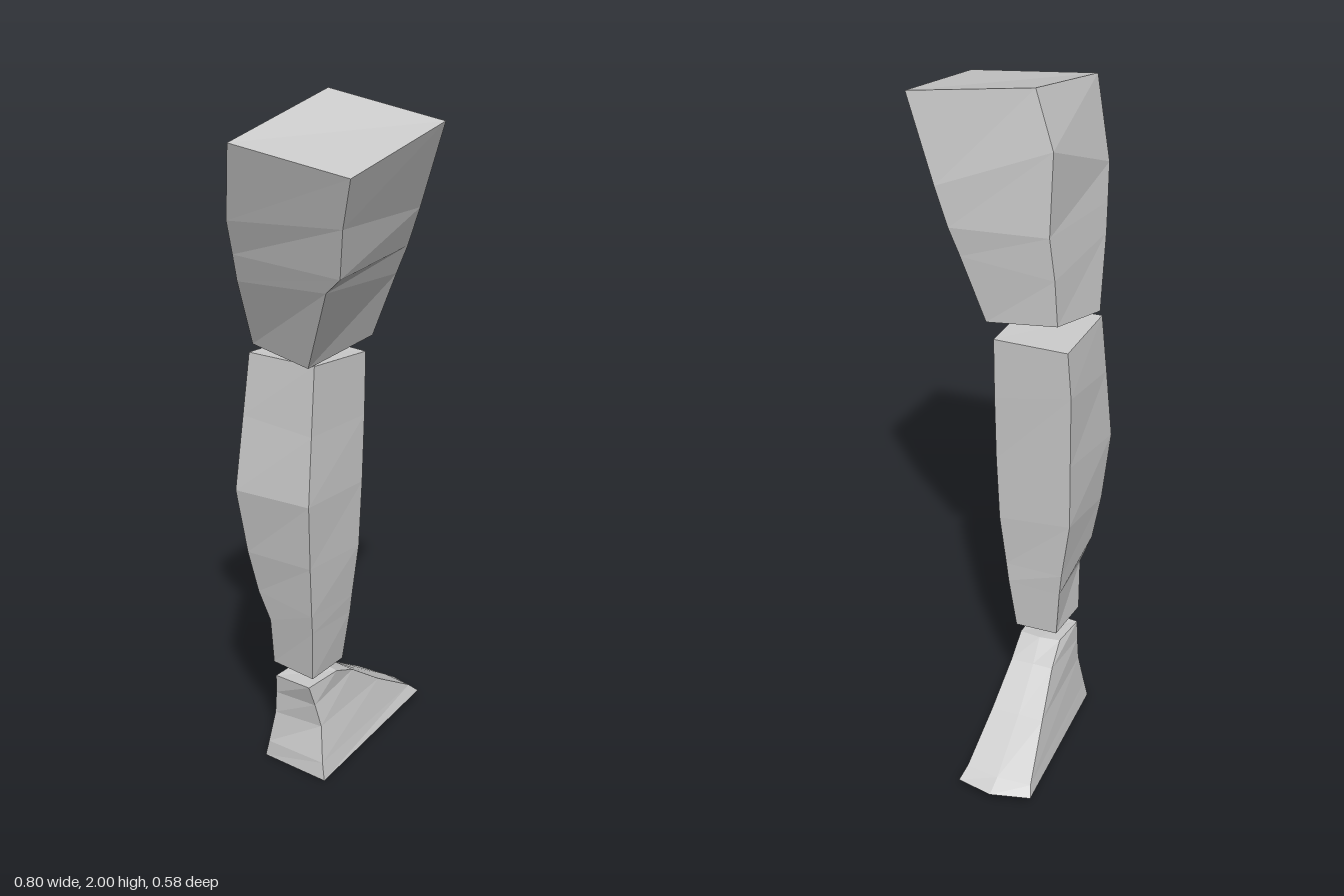
import * as THREE from 'three';

// Joins rings of corners (listed top to bottom, each back-right, back-left, ..., front-right)
// into a closed faceted solid.
function loft(name, rings) {
  const n = rings[0].length, pos = [];
  const tri = (a, b, c) => pos.push(...a, ...b, ...c);
  for (let r = 0; r < rings.length - 1; r++) {
    const u = rings[r], l = rings[r + 1];
    for (let i = 0; i < n; i++) {
      const j = (i + 1) % n;
      tri(u[i], u[j], l[j]);
      tri(u[i], l[j], l[i]);
    }
  }
  const top = rings[0], bottom = rings[rings.length - 1];
  for (let i = 1; i < n - 1; i++) {
    tri(top[0], top[i + 1], top[i]);
    tri(bottom[0], bottom[i], bottom[i + 1]);
  }
  const geometry = new THREE.BufferGeometry();
  geometry.setAttribute('position', new THREE.Float32BufferAttribute(pos, 3));
  geometry.computeVertexNormals();
  const mesh = new THREE.Mesh(geometry, new THREE.MeshStandardMaterial({ color: 0xcccccc, flatShading: true }));
  mesh.name = name;
  return mesh;
}

export function createModel() {
  const group = new THREE.Group();
  group.name = 'leg';

  // Thigh: wide slanted top, tapering to the knee
  group.add(loft('thigh', [
    [[-0.40, 1.92, -0.085], [0.00, 2.00, -0.10], [0.045, 1.95, 0.255], [-0.37, 1.88, 0.29]],
    [[-0.34, 1.70, -0.155], [0.025, 1.85, -0.165], [0.06, 1.71, 0.165], [-0.335, 1.74, 0.235]],
    [[-0.305, 1.60, -0.17], [0.04, 1.62, -0.165], [0.06, 1.60, 0.125], [-0.305, 1.60, 0.20]],
    [[-0.28, 1.52, -0.18], [0.035, 1.50, -0.18], [0.05, 1.52, 0.095], [-0.29, 1.55, 0.14]],
    [[-0.20, 1.32, -0.205], [0.035, 1.37, -0.19], [0.035, 1.335, 0.025], [-0.215, 1.30, 0.01]],
  ]));

  // Shin: bulges at the calf, narrows to the ankle
  group.add(loft('shin', [
    [[-0.215, 1.30, -0.205], [0.02, 1.29, -0.215], [0.03, 1.285, 0.005], [-0.19, 1.30, 0.01]],
    [[-0.235, 1.12, -0.215], [0.015, 1.15, -0.225], [0.025, 1.10, 0.005], [-0.205, 1.10, 0.01]],
    [[-0.262, 0.90, -0.225], [0.01, 0.93, -0.225], [0.015, 0.90, 0.005], [-0.225, 0.90, 0.015]],
    [[-0.23, 0.70, -0.215], [0.005, 0.73, -0.225], [0.01, 0.70, -0.003], [-0.205, 0.70, 0.00]],
    [[-0.205, 0.57, -0.20], [0.00, 0.55, -0.20], [0.00, 0.54, -0.02], [-0.187, 0.54, -0.012]],
    [[-0.19, 0.48, -0.17], [-0.005, 0.48, -0.192], [0.00, 0.48, -0.028], [-0.178, 0.48, -0.018]],
    [[-0.167, 0.33, -0.18], [-0.015, 0.33, -0.18], [-0.01, 0.322, -0.05], [-0.16, 0.32, -0.035]],
  ]));

  // Foot: sloping instep, pinched heel and blunt pointed toe
  group.add(loft('foot', [
    [[-0.16, 0.28, -0.18], [-0.04, 0.287, -0.18], [-0.025, 0.288, -0.12], [-0.03, 0.285, -0.055], [-0.16, 0.285, -0.05]],
    [[-0.155, 0.22, -0.185], [0.05, 0.25, -0.20], [0.055, 0.25, -0.14], [0.06, 0.245, -0.07], [-0.14, 0.22, -0.045]],
    [[-0.155, 0.15, -0.19], [0.18, 0.16, -0.235], [0.185, 0.16, -0.16], [0.19, 0.155, -0.075], [-0.13, 0.15, -0.03]],
    [[-0.17, 0.05, -0.205], [0.34, 0.06, -0.28], [0.355, 0.06, -0.18], [0.35, 0.06, -0.08], [-0.16, 0.05, 0.00]],
    [[-0.175, 0.00, -0.215], [0.36, 0.03, -0.29], [0.40, 0.03, -0.18], [0.385, 0.028, -0.07], [-0.17, 0.00, 0.015]],
  ]));

  return group;
}
